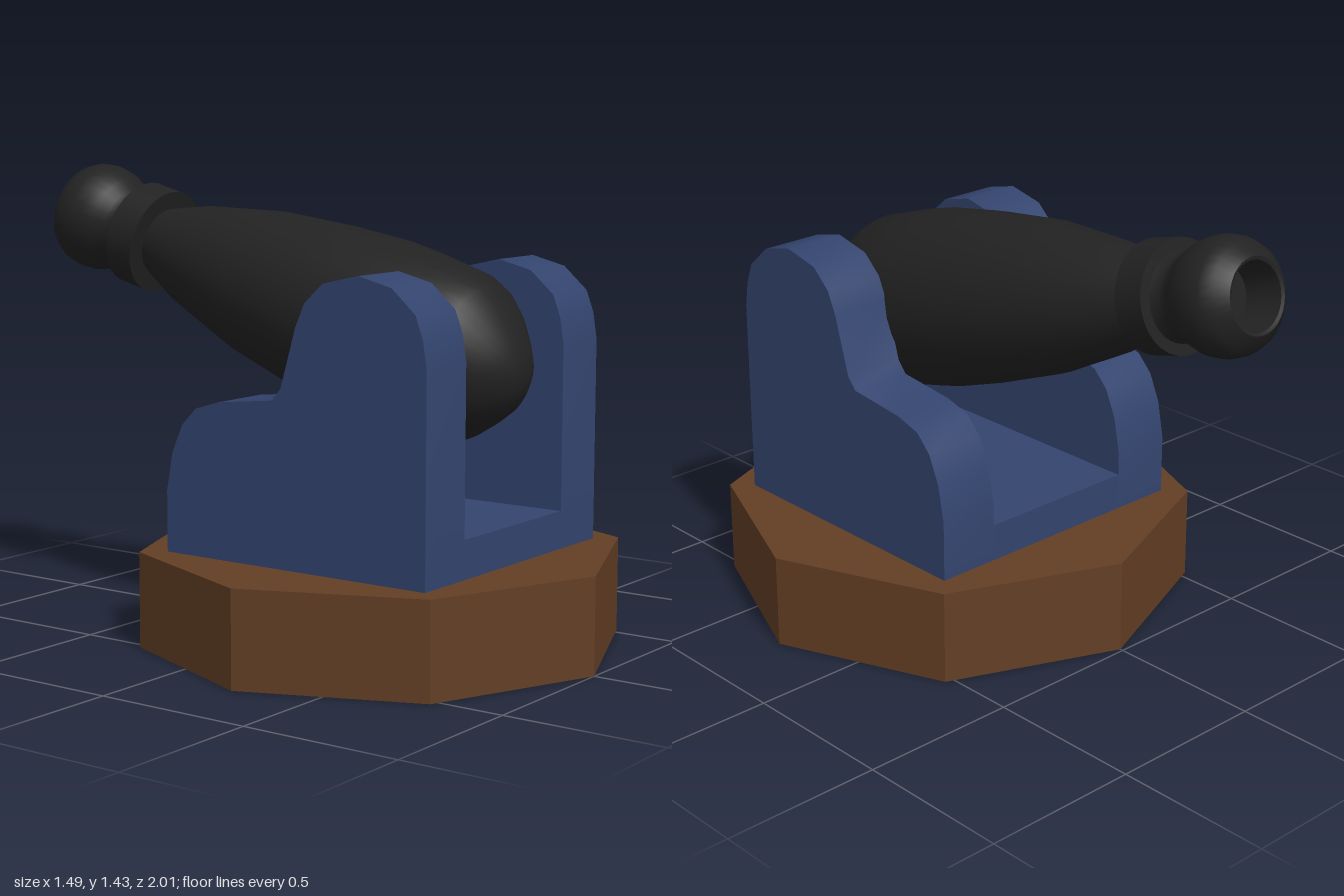
import * as THREE from 'three';
import { toCreasedNormals } from 'three/addons/utils/BufferGeometryUtils.js';

export function createModel() {
  const model = new THREE.Group();
  model.name = 'cannon';

  const material = (name, color) => {
    const m = new THREE.MeshStandardMaterial({ color });
    m.name = name;
    return m;
  };
  const wood = material('brown wood', 0x633e24);
  const blue = material('blue paint', 0x33446e);
  const iron = material('black iron', 0x222222);

  const add = (parent, name, geometry, mat) => {
    const mesh = new THREE.Mesh(geometry, mat);
    mesh.name = name;
    parent.add(mesh);
    return mesh;
  };

  // Octagonal base with a corner pointing forward
  const baseGeo = toCreasedNormals(new THREE.CylinderGeometry(0.745, 0.745, 0.295, 8), 0.4);
  add(model, 'base', baseGeo, wood).position.set(0, 0.1475, 0.255);

  // Carriage cheeks: stepped side outline as (z, y), extruded across x
  const carriage = new THREE.Group();
  carriage.name = 'carriage';
  model.add(carriage);
  const outline = [
    [0.725, 0.295], [0.725, 0.92], [0.712, 1.0], [0.687, 1.067], [0.607, 1.137], [0.494, 1.165],
    [0.371, 1.137], [0.307, 1.078], [0.275, 1.008], [0.221, 0.826], [0.189, 0.789],
    [-0.009, 0.767], [-0.095, 0.741], [-0.148, 0.687], [-0.186, 0.6], [-0.208, 0.484], [-0.208, 0.295],
  ].map(([z, y]) => new THREE.Vector2(z, y));
  const cheekGeo = toCreasedNormals(
    new THREE.ExtrudeGeometry(new THREE.Shape(outline), { depth: 0.2, bevelEnabled: false })
      .translate(0, 0, -0.1).rotateY(-Math.PI / 2), 0.75);
  for (const [side, name] of [[1, 'leftCheek'], [-1, 'rightCheek']]) {
    add(carriage, name, cheekGeo, blue).position.x = side * 0.369;
  }
  const floor = add(carriage, 'carriageFloor', new THREE.BoxGeometry(0.54, 0.117, 0.933), blue);
  floor.position.set(0, 0.3535, 0.2585);

  // Barrel, turned about its own axis and raised 15 degrees toward the back
  const barrel = new THREE.Group();
  barrel.name = 'barrel';
  barrel.position.set(0, 0.957, 0.25);
  barrel.rotation.x = -THREE.MathUtils.degToRad(75);
  model.add(barrel);
  const turned = (name, points, crease = 0.7) => {
    const profile = points.map(([r, s]) => new THREE.Vector2(r, s));
    add(barrel, name, toCreasedNormals(new THREE.LatheGeometry(profile, 32), crease), iron);
  };
  turned('breechAndTube', [
    [0, -0.512], [0.05, -0.51], [0.105, -0.482], [0.155, -0.44], [0.212, -0.383], [0.25, -0.33],
    [0.271, -0.27], [0.28, -0.12], [0.281, 0], [0.265, 0.2], [0.231, 0.468], [0.165, 0.74], [0.108, 0.89],
  ]);
  turned('muzzleRing', [[0.1, 0.885], [0.168, 0.885], [0.168, 0.988], [0.12, 0.988]]);
  turned('muzzleBell', [
    [0.135, 0.985], [0.122, 1.015], [0.13, 1.045], [0.152, 1.08], [0.168, 1.118],
    [0.174, 1.165], [0.168, 1.205], [0.15, 1.24], [0.11, 1.272],
  ]);
  // Inside of the bore, closed at the bottom
  turned('bore', [[0.11, 1.272], [0.1, 1.268], [0.086, 1.15], [0, 1.15]]);

  return model;
}
